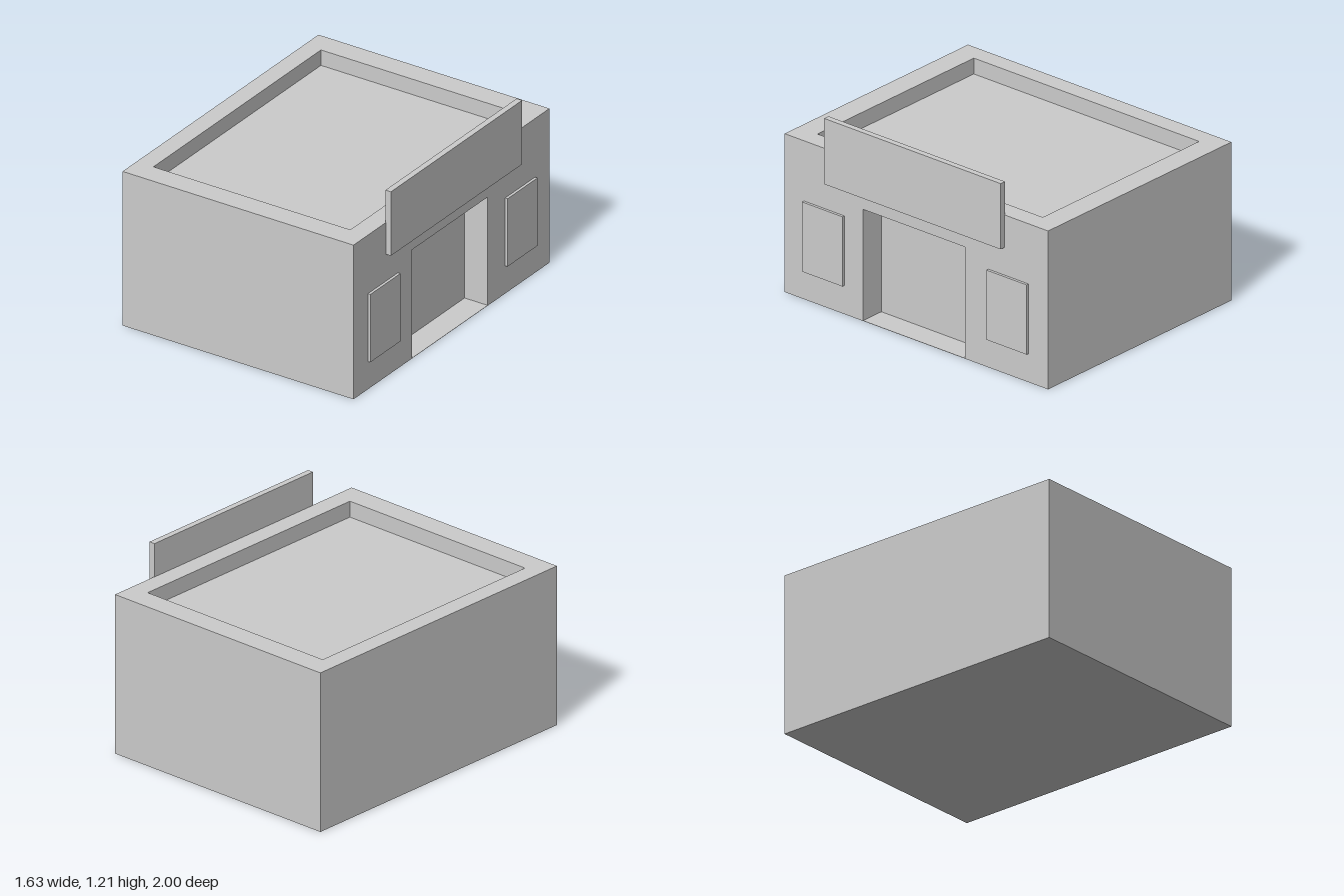
import * as THREE from 'three';

const material = new THREE.MeshStandardMaterial({ color: 0xcccccc, flatShading: true });

function addMesh(parent, name, geometry) {
  const mesh = new THREE.Mesh(geometry, material);
  mesh.name = name;
  parent.add(mesh);
}

// Box given by its lower and upper corners
function addBox(parent, name, [x0, y0, z0], [x1, y1, z1]) {
  const geometry = new THREE.BoxGeometry(x1 - x0, y1 - y0, z1 - z0);
  geometry.translate((x0 + x1) / 2, (y0 + y1) / 2, (z0 + z1) / 2);
  addMesh(parent, name, geometry);
}

const rectangle = (u0, v0, u1, v1) => [[u0, v0], [u1, v0], [u1, v1], [u0, v1]].map(([u, v]) => new THREE.Vector2(u, v));

// Rectangular slab with one rectangular opening
function framedSlab(outer, inner, depth) {
  const shape = new THREE.Shape(rectangle(...outer));
  shape.holes.push(new THREE.Path(rectangle(...inner)));
  return new THREE.ExtrudeGeometry(shape, { depth, bevelEnabled: false });
}

export function createModel() {
  const building = new THREE.Group();
  building.name = 'building';

  const back = -0.815, front = 0.78, roof = 0.9, top = 1;
  const recess = 0.16;

  // Main block up to the sunken roof, behind the door recess
  addBox(building, 'mainBlock', [back, 0, -1], [front - recess, roof, 1]);

  // Entrance wall with the doorway, facing +x
  const facade = framedSlab([-1, 0, 1, roof], [-0.405, 0.002, 0.37, 0.705], recess);
  facade.rotateY(Math.PI / 2).translate(front - recess, 0, 0);
  addMesh(building, 'entranceWall', facade);

  // Parapet around the roof
  const parapet = framedSlab([back, -1, front, 1], [-0.70, -0.855, 0.66, 0.855], top - roof);
  parapet.rotateX(-Math.PI / 2).translate(0, roof, 0);
  addMesh(building, 'parapet', parapet);

  // Window panels either side of the doorway
  for (const [name, z] of [['leftWindow', -0.7], ['rightWindow', 0.7]]) {
    addBox(building, name, [front - 0.01, 0.18, z - 0.153], [0.797, 0.62, z + 0.153]);
  }

  // Sign board rising above the parapet
  addBox(building, 'signBoard', [0.777, 0.795, -0.67], [0.815, 1.21, 0.67]);

  return building;
}
